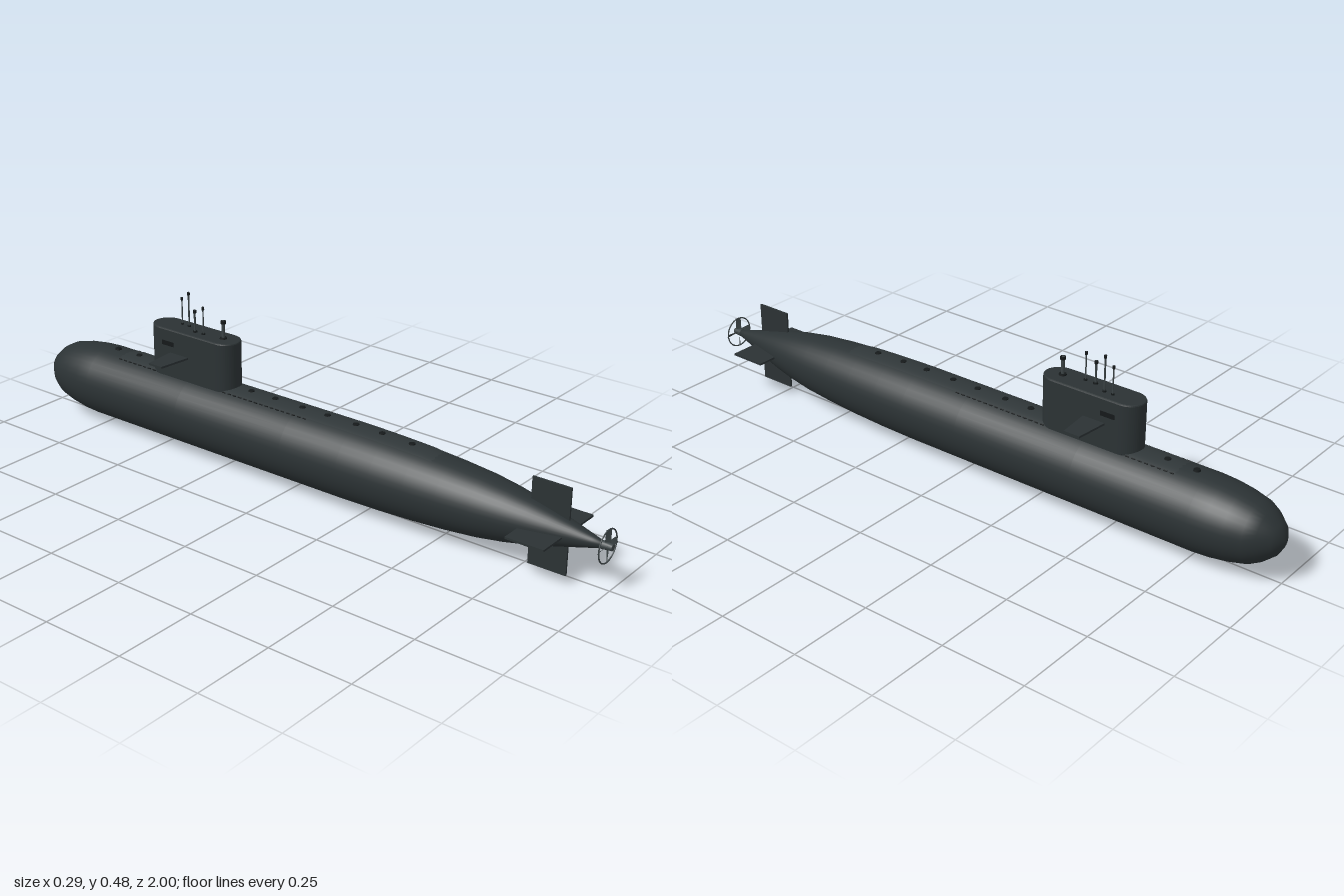
import * as THREE from 'three';

const AXIS_Y = 0.125;
const paint = (color, side = THREE.FrontSide) => new THREE.MeshStandardMaterial({ color, side });

export function createModel() {
  const model = new THREE.Group();
  const dark = paint(0x2b3234);
  const deckMat = paint(0x2f3638, THREE.DoubleSide);
  const black = paint(0x15191a);
  const metal = paint(0x3c4446);
  const bladeMat = paint(0x3c4446, THREE.DoubleSide);

  const add = (name, geometry, material, x = 0, y = 0, z = 0, parent = model) => {
    const mesh = new THREE.Mesh(geometry, material);
    mesh.name = name;
    mesh.position.set(x, y, z);
    parent.add(mesh);
    return mesh;
  };

  // Hull: radius against z, bow at -z
  const profile = [
    [0, -1], [0.022, -0.995], [0.045, -0.982], [0.072, -0.95], [0.088, -0.92], [0.1, -0.87],
    [0.107, -0.82], [0.11, -0.77], [0.11, -0.4], [0.11, 0], [0.11, 0.2], [0.108, 0.31], [0.104, 0.42],
    [0.098, 0.52], [0.089, 0.62], [0.077, 0.7], [0.063, 0.77], [0.048, 0.83],
    [0.032, 0.89], [0.017, 0.945], [0.009, 0.975], [0, 0.976],
  ];
  const radiusAt = (z) => {
    const i = Math.max(1, profile.findIndex((p) => p[1] >= z));
    const [r0, z0] = profile[i - 1], [r1, z1] = profile[i];
    return r0 + (r1 - r0) * (z - z0) / (z1 - z0);
  };
  const revolve = (pts, segments, start, length) =>
    new THREE.LatheGeometry(pts.map(([r, z]) => new THREE.Vector2(r, z)), segments, start, length).rotateX(Math.PI / 2);
  add('hull', revolve(profile, 40), dark, 0, AXIS_Y);

  // Deck casing hugging the top of the hull
  const deckPts = [];
  for (let i = 0; i <= 24; i++) {
    const z = -0.7 + 1.18 * i / 24;
    const lift = i === 0 || i === 24 ? -0.001 : 0.0025;
    deckPts.push([radiusAt(z) + lift, z]);
  }
  add('deckCasing', revolve(deckPts, 10, Math.PI - 0.37, 0.74), deckMat, 0, AXIS_Y);

  // Drain slots along both deck edges
  const slot = new THREE.BoxGeometry(0.003, 0.003, 0.011);
  for (const s of [-1, 1]) {
    for (let z = -0.68; z < 0.06; z += 0.02) {
      const m = add('drainSlot', slot, black, s * 0.0415, AXIS_Y + 0.1025, z);
      m.rotation.z = -s * 0.39;
    }
  }

  // Deck hatches
  const hatch = new THREE.CylinderGeometry(0.009, 0.01, 0.005, 12);
  for (const z of [-0.73, -0.64, -0.19, -0.1, 0, 0.09, 0.19, 0.28, 0.38]) {
    add('hatch', hatch, black, 0, AXIS_Y + radiusAt(z) + 0.0025, z);
  }

  // Sail with rounded ends
  const sail = new THREE.Group();
  sail.name = 'sail';
  model.add(sail);
  const bevel = 0.004, r = 0.045 - bevel, straight = 0.1;
  const plan = new THREE.Shape();
  plan.absarc(0, straight, r, 0, Math.PI, false);
  plan.absarc(0, -straight, r, Math.PI, Math.PI * 2, false);
  plan.closePath();
  const tower = new THREE.ExtrudeGeometry(plan, {
    depth: 0.146, bevelThickness: bevel, bevelSize: bevel, bevelSegments: 2, curveSegments: 14,
  }).rotateX(-Math.PI / 2);
  tower.scale(1, 1, 0.16 / (straight + 0.045));
  add('tower', tower, dark, 0, 0.225, -0.4, sail);

  // Sail planes and side lamps
  for (const s of [-1, 1]) {
    const wing = new THREE.Shape([[0.03, 0.395], [0.146, 0.408], [0.146, 0.458], [0.03, 0.468]]
      .map(([x, z]) => new THREE.Vector2(s * x, z)));
    add('sailPlane', new THREE.ExtrudeGeometry(wing, { depth: 0.006, bevelEnabled: false }).rotateX(-Math.PI / 2),
      dark, 0, 0.297, 0, sail);
    add('sideLamp', new THREE.BoxGeometry(0.004, 0.014, 0.045), black, s * 0.0445, 0.33, -0.475, sail);
  }

  // Masts: x, z, top height, rod radius, head radius
  const masts = [
    [0, -0.295, 0.43, 0.005, 0.008], [-0.012, -0.362, 0.46, 0.002, 0.004],
    [-0.012, -0.395, 0.443, 0.003, 0.005], [0.012, -0.44, 0.482, 0.0025, 0.004],
    [0.013, -0.468, 0.46, 0.002, 0.0035],
  ];
  for (const [x, z, top, rod, head] of masts) {
    const h = top - 0.37;
    add('mast', new THREE.CylinderGeometry(rod, rod, h, 10), metal, x, 0.37 + h / 2, z, sail);
    add('mastHead', new THREE.CylinderGeometry(head, head, 0.009, 10), black, x, top - 0.0045, z, sail);
    add('mastCollar', new THREE.CylinderGeometry(head * 1.3, head * 1.4, 0.004, 12), black, x, 0.377, z, sail);
  }

  // Stern fins
  add('sternPlanes', new THREE.BoxGeometry(0.25, 0.006, 0.115), dark, 0, AXIS_Y, 0.816);
  add('rudder', new THREE.BoxGeometry(0.006, 0.252, 0.115), dark, 0, 0.127, 0.816);

  // Ringed propeller
  const propeller = new THREE.Group();
  propeller.name = 'propeller';
  propeller.position.set(0, AXIS_Y, 0.985);
  model.add(propeller);
  add('hub', new THREE.CylinderGeometry(0.009, 0.012, 0.03, 16).rotateX(Math.PI / 2), metal, 0, 0, 0, propeller);
  add('ring', new THREE.TorusGeometry(0.0465, 0.002, 8, 32), metal, 0, 0, 0, propeller);
  for (let i = 0; i < 4; i++) {
    const blade = new THREE.PlaneGeometry(0.016, 0.042, 2, 6).translate(0, 0.026, 0);
    const p = blade.attributes.position;
    for (let k = 0; k < p.count; k++) {
      const x = p.getX(k), y = p.getY(k), pitch = 0.95 - y * 9;
      p.setXYZ(k, x * Math.cos(pitch), y, x * Math.sin(pitch));
    }
    blade.computeVertexNormals();
    add('blade', blade, bladeMat, 0, 0, 0, propeller).rotation.z = i * Math.PI / 2;
  }
  return model;
}
